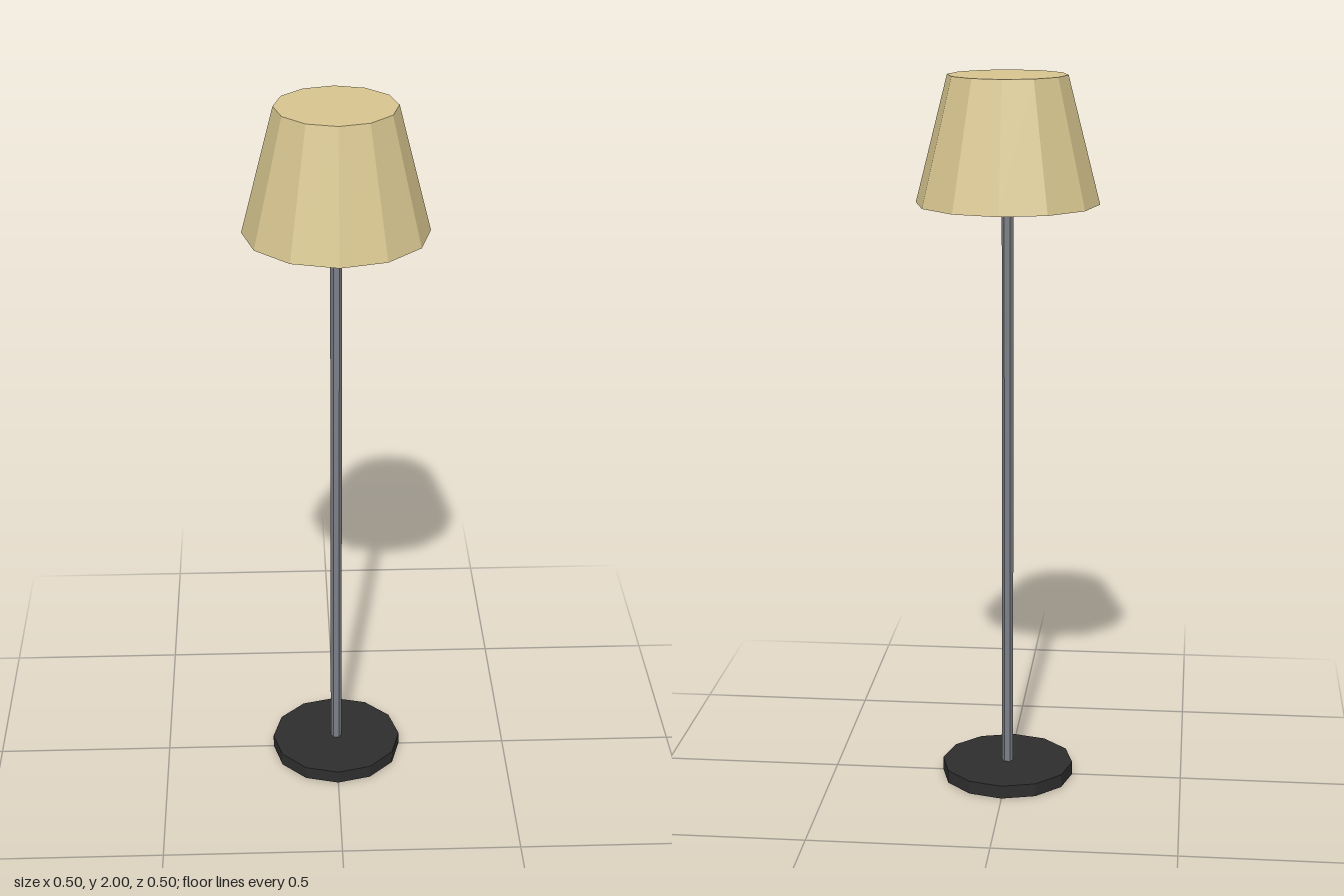
import * as THREE from 'three';

function flatMaterial(name, color) {
  const m = new THREE.MeshStandardMaterial({ color, flatShading: true });
  m.name = name;
  return m;
}

// Faceted, capped drum standing between two heights
function drum(name, rTop, rBottom, y0, y1, sides, material) {
  const geo = new THREE.CylinderGeometry(rTop, rBottom, y1 - y0, sides);
  geo.rotateY(Math.PI / 2); // first corner on the x axis
  const mesh = new THREE.Mesh(geo, material);
  mesh.position.y = (y0 + y1) / 2;
  mesh.name = name;
  return mesh;
}

export function createModel() {
  const cream = flatMaterial('cream fabric', 0xd8c690);
  const steel = flatMaterial('grey steel', 0x7c7f86);
  const black = flatMaterial('black base', 0x2e2e2e);

  const lamp = new THREE.Group();
  lamp.name = 'floorLamp';
  lamp.add(
    drum('base', 0.1875, 0.1875, 0, 0.0375, 12, black),
    drum('pole', 0.016, 0.016, 0.03, 1.67, 6, steel),
    drum('shade', 0.1625, 0.25, 1.656, 2, 12, cream),
  );
  return lamp;
}
